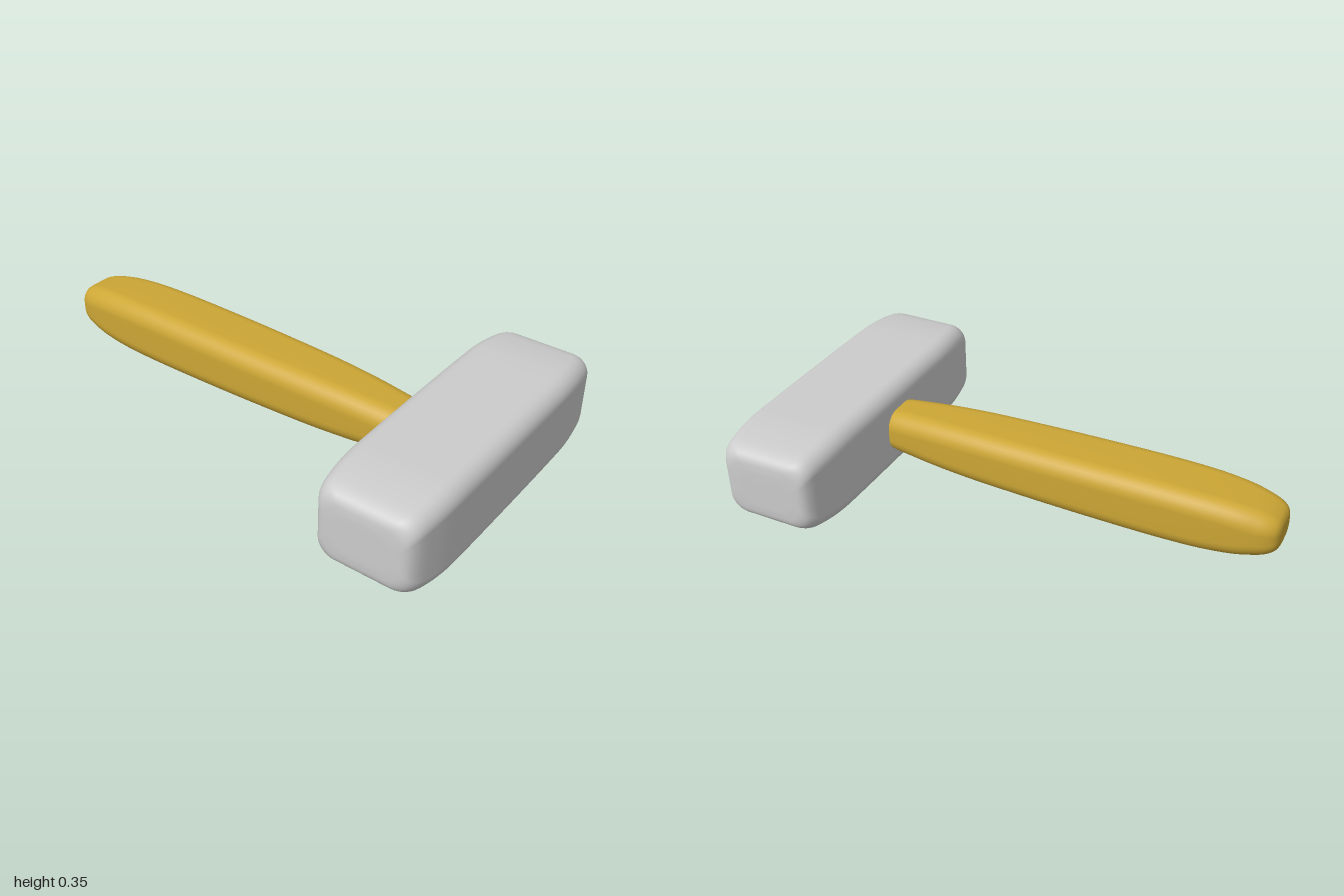
import * as THREE from 'three';

// Outline of a rounded rectangle, counter-clockwise
function roundedRect(hw, hh, radius, steps = 8) {
  const r = Math.min(radius, hw * 0.75, hh * 0.75);
  const points = [];
  [[1, 1], [-1, 1], [-1, -1], [1, -1]].forEach(([sx, sy], q) => {
    for (let i = 0; i <= steps; i++) {
      const a = (q + i / steps) * Math.PI / 2;
      points.push([sx * (hw - r) + r * Math.cos(a), sy * (hh - r) + r * Math.sin(a)]);
    }
  });
  return points;
}

// Soft bar along z; each station is [z, half width, half height]
function softBar(stations, radius) {
  const path = new THREE.CatmullRomCurve3(stations.map(([z, w, h]) => new THREE.Vector3(w, h, z)));
  const rings = path.getPoints((stations.length - 1) * 5);
  const positions = [], index = [];
  let n = 0;
  for (const p of rings) {
    const outline = roundedRect(p.x, p.y, radius);
    n = outline.length;
    outline.forEach(([x, y]) => positions.push(x, y, p.z));
  }
  const last = (rings.length - 1) * n, start = rings.length * n, end = start + 1;
  positions.push(0, 0, rings[0].z, 0, 0, rings[rings.length - 1].z);
  for (let j = 0; j < n; j++) {
    const k = (j + 1) % n;
    for (let i = 0; i < last; i += n) {
      index.push(i + j, i + k, i + n + k, i + j, i + n + k, i + n + j);
    }
    index.push(start, k, j, end, last + j, last + k);
  }
  const geometry = new THREE.BufferGeometry();
  geometry.setAttribute('position', new THREE.Float32BufferAttribute(positions, 3));
  geometry.setIndex(index);
  geometry.computeVertexNormals();
  return geometry;
}

export function createModel() {
  const group = new THREE.Group();
  const midY = 0.176;

  // Head: a block lying along x, with long soft shoulders at both ends
  const insets = [[0.62, 0.11], [0.619, 0.085], [0.614, 0.055], [0.6, 0.036],
    [0.57, 0.021], [0.5, 0.009], [0.42, 0.002], [0.33, 0]];
  const half = insets.map(([z, d]) => [z, 0.213 - d, 0.175 - d]);
  const headStations = [...half.map(([z, w, h]) => [-z, w, h]), ...half.slice().reverse()];
  const head = new THREE.Mesh(softBar(headStations, 0.065),
    new THREE.MeshStandardMaterial({ color: 0xcccccc }));
  head.name = 'head';
  head.rotation.y = Math.PI / 2;
  head.position.set(0, midY, 0.787);
  group.add(head);

  // Handle: widest towards the grip, rounded at the back, sunk into the head
  const handle = new THREE.Mesh(softBar([
    [-1, 0.035, 0.03], [-0.998, 0.06, 0.045], [-0.985, 0.085, 0.065], [-0.95, 0.106, 0.084],
    [-0.88, 0.122, 0.101], [-0.76, 0.134, 0.113], [-0.6, 0.139, 0.118], [-0.3, 0.139, 0.117],
    [0, 0.134, 0.113], [0.25, 0.125, 0.108], [0.45, 0.111, 0.098], [0.575, 0.097, 0.085],
    [0.65, 0.07, 0.06],
  ], 0.07), new THREE.MeshStandardMaterial({ color: 0xcca635 }));
  handle.name = 'handle';
  handle.position.set(-0.002, midY + 0.002, 0);
  group.add(handle);

  return group;
}
